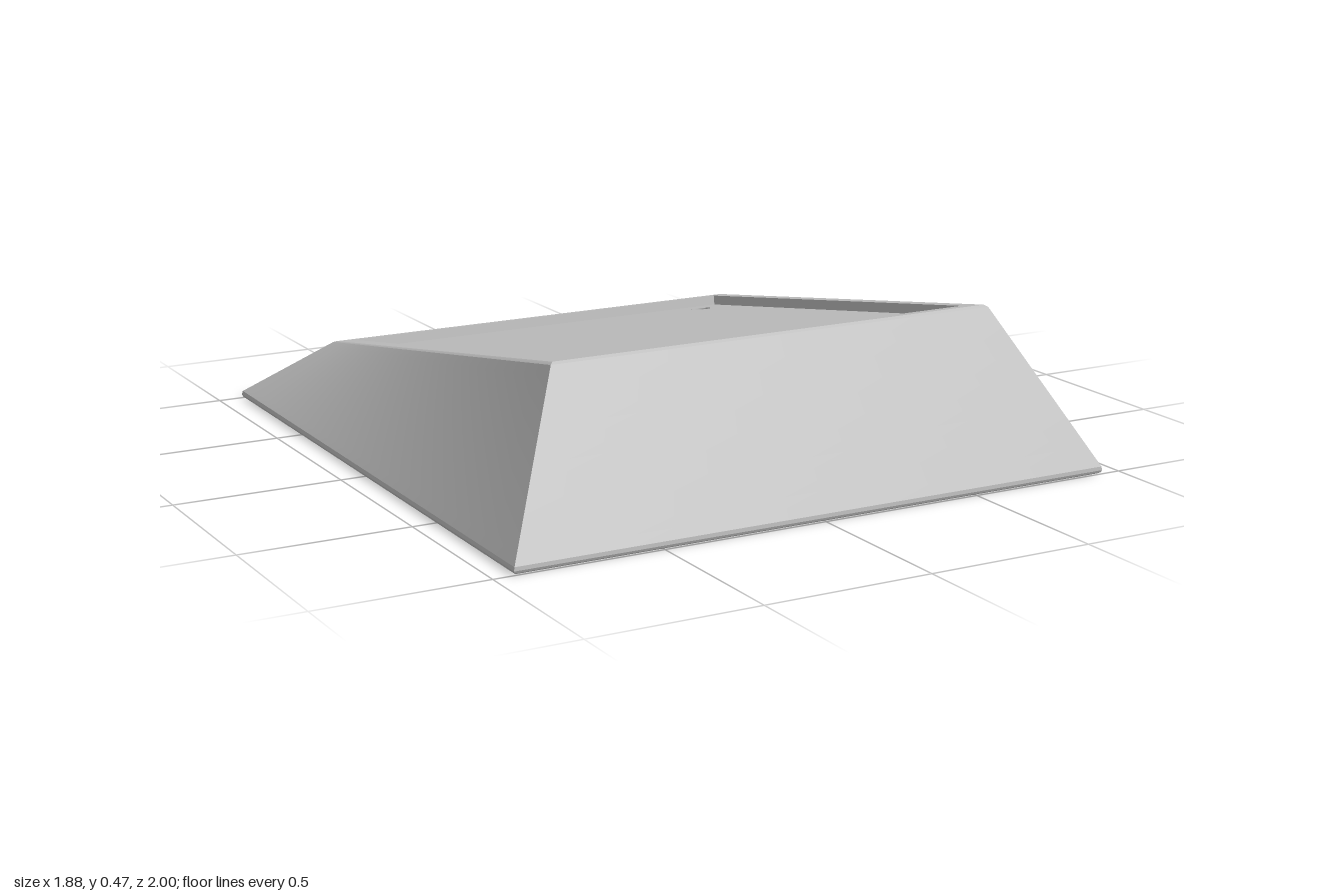
import * as THREE from 'three';

const grey = new THREE.MeshStandardMaterial({ color: 0xc0c0c0, side: THREE.DoubleSide });
grey.name = 'light grey';

const TILT = Math.atan2(0.265, 1.505);   // slope of the top face
const RECESS = 0.03;                     // depth of the sunken panel
const HOLE_R = 0.032, HOLE_DEPTH = 0.15;
const HOLES = [[0.54, -0.622], [-0.55, 0.607]];

function add(parent, name, geometry) {
  const mesh = new THREE.Mesh(geometry, grey);
  mesh.name = name;
  parent.add(mesh);
  return mesh;
}

// Four corners in order: front right, front left, back left, back right (model's own sides)
const ring = (xf, zf, yf, xb = xf, zb = -zf, yb = yf) => [
  [-xf, yf, zf], [xf, yf, zf], [xb, yb, zb], [-xb, yb, zb],
].map((p) => new THREE.Vector3(...p));

// One ruled face between two edges; smooth across its twist
function ruledFace(a0, a1, b0, b1, n) {
  const pos = [], index = [];
  const p = new THREE.Vector3(), q = new THREE.Vector3();
  for (let j = 0; j <= n; j++) {
    for (let i = 0; i <= n; i++) {
      p.lerpVectors(a0, a1, i / n);
      q.lerpVectors(b0, b1, i / n);
      p.lerp(q, j / n);
      pos.push(p.x, p.y, p.z);
      if (i < n && j < n) {
        const k = j * (n + 1) + i;
        index.push(k, k + 1, k + n + 2, k, k + n + 2, k + n + 1);
      }
    }
  }
  const g = new THREE.BufferGeometry();
  g.setAttribute('position', new THREE.Float32BufferAttribute(pos, 3));
  g.setIndex(index);
  g.computeVertexNormals();
  return g;
}

function band(parent, name, lower, upper, n) {
  const group = new THREE.Group();
  group.name = name;
  ['Front', 'Left', 'Back', 'Right'].forEach((side, i) => {
    const j = (i + 1) % 4;
    add(group, name + side, ruledFace(lower[i], lower[j], upper[i], upper[j], n));
  });
  parent.add(group);
}

function rectangle(target, x, z0, z1) {
  target.moveTo(-x, -z1);
  target.lineTo(x, -z1);
  target.lineTo(x, -z0);
  target.lineTo(-x, -z0);
  target.closePath();
  return target;
}

const flat = (shape) => new THREE.ShapeGeometry(shape, 32).rotateX(-Math.PI / 2);

export function createModel() {
  const model = new THREE.Group();
  model.name = 'slopedStand';

  // Base with a small softened foot edge
  const foot = ring(0.93, 0.99, 0, 0.915, -0.99);
  const footMid = ring(0.937, 0.997, 0.004, 0.922, -0.997);
  const edgeLow = ring(0.94, 1, 0.011, 0.925, -1);
  const edgeHigh = ring(0.938, 0.999, 0.022, 0.922, -0.999);
  add(model, 'underside', ruledFace(foot[3], foot[2], foot[0], foot[1], 1));
  band(model, 'footBevelLower', foot, footMid, 1);
  band(model, 'footBevelUpper', footMid, edgeLow, 1);
  band(model, 'footEdge', edgeLow, edgeHigh, 1);

  // Sloping sides, slightly twisted at left and right
  const peak = ring(0.7, 0.745, 0.475, 0.7, -0.76, 0.21);
  const shoulder = edgeHigh.map((p, i) => p.clone().lerp(peak[i], 0.985));
  band(model, 'side', edgeHigh, shoulder, 16);

  // Tilted deck
  const deck = new THREE.Group();
  deck.name = 'deck';
  deck.position.set(0, 0.3425, -0.0075);
  deck.rotation.x = -TILT;
  deck.updateMatrix();
  model.add(deck);

  const deckEdge = ring(0.694, 0.758, 0);
  band(model, 'topBevel', shoulder, deckEdge.map((p) => p.clone().applyMatrix4(deck.matrix)), 1);

  const rim = rectangle(new THREE.Shape(), 0.694, -0.758, 0.758);
  rim.holes.push(rectangle(new THREE.Path(), 0.65, -0.7235, 0.708));
  add(deck, 'rim', flat(rim));

  // Sunken panel: walls face inwards
  const wallTop = ring(0.65, 0.708, 0, 0.65, -0.7235);
  const wallBottom = ring(0.65, 0.708, -RECESS, 0.65, -0.7235);
  band(deck, 'recessWall', wallTop, wallBottom, 1);

  const panel = rectangle(new THREE.Shape(), 0.65, -0.7235, 0.708);
  for (const [x, z] of HOLES) {
    panel.holes.push(new THREE.Path().absarc(x, -z, HOLE_R, 0, Math.PI * 2, true));
  }
  add(deck, 'panel', flat(panel)).position.y = -RECESS;

  // Two blind holes in opposite corners
  for (const [x, z] of HOLES) {
    const wall = new THREE.CylinderGeometry(HOLE_R, HOLE_R, HOLE_DEPTH, 32, 1, true);
    wall.scale(-1, 1, 1);
    const normals = wall.attributes.normal;
    for (let i = 0; i < normals.count; i++) {
      normals.setXYZ(i, -wall.attributes.position.getX(i) / HOLE_R, 0, -wall.attributes.position.getZ(i) / HOLE_R);
    }
    add(deck, 'holeWall', wall).position.set(x, -RECESS - HOLE_DEPTH / 2, z);
    const floor = new THREE.CircleGeometry(HOLE_R, 32).rotateX(-Math.PI / 2);
    add(deck, 'holeFloor', floor).position.set(x, -RECESS - HOLE_DEPTH, z);
  }
  return model;
}
